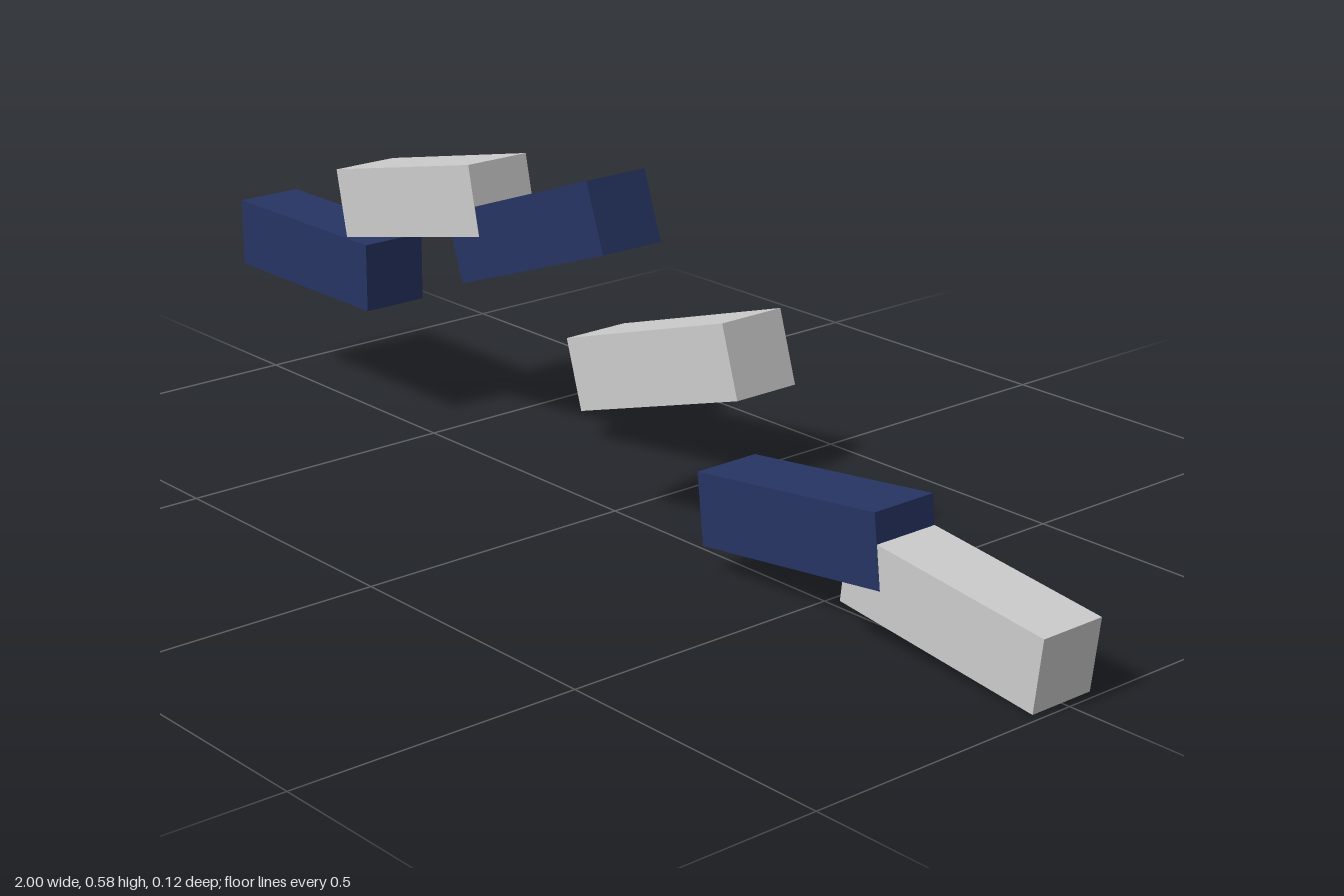
import * as THREE from 'three';

const LENGTH = 0.393, THICK = 0.122;

export function createModel() {
  const model = new THREE.Group();
  model.name = 'blockArc';

  const navy = new THREE.MeshStandardMaterial({ color: 0x273463 });
  const grey = new THREE.MeshStandardMaterial({ color: 0xcccccc });

  // Blocks from right to left: centre x, centre y, tilt in degrees, depth.
  // The front-most of two overlapping blocks is a hair deeper, so faces never coincide.
  const blocks = [
    [-0.804, 0.275, 0, THICK],
    [-0.485, 0.441, 12.5, THICK + 0.001],
    [-0.163, 0.455, 19.7, THICK],
    [0.156, 0.303, 17.3, THICK],
    [0.475, 0.126, 7, THICK + 0.001],
    [0.797, 0.084, -7, THICK],
  ];

  blocks.forEach(([x, y, tilt, depth], i) => {
    const isNavy = i % 2 === 0;
    const block = new THREE.Mesh(
      new THREE.BoxGeometry(LENGTH, THICK, depth),
      isNavy ? navy : grey
    );
    block.name = `${isNavy ? 'navy' : 'grey'}Block${i + 1}`;
    block.position.set(x, y, 0);
    block.rotation.z = THREE.MathUtils.degToRad(tilt);
    model.add(block);
  });

  return model;
}
